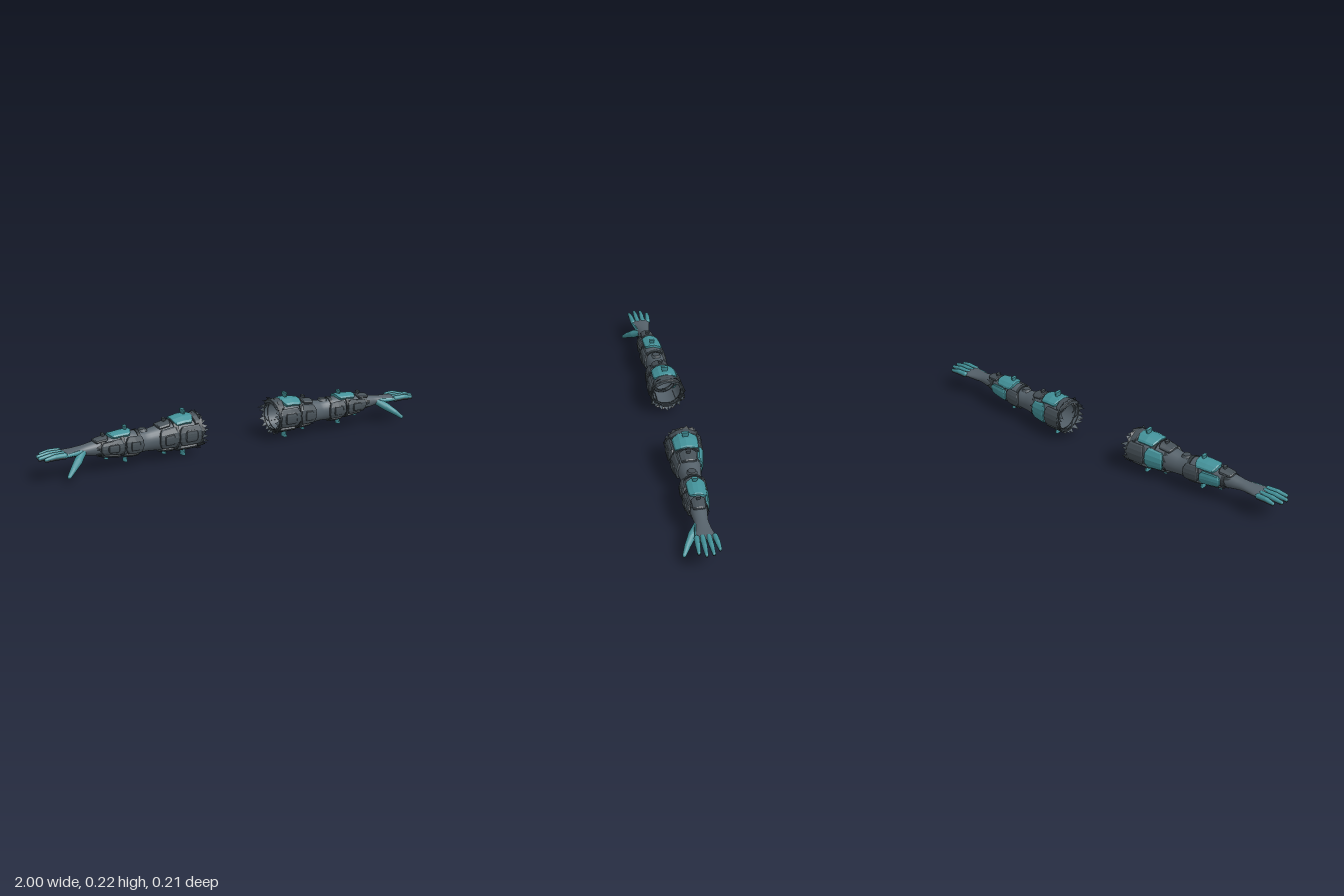
import * as THREE from 'three';
import { mergeVertices, mergeGeometries } from 'three/addons/utils/BufferGeometryUtils.js';

// Centre line and radii along the arm: x, y, z, vertical radius, depth radius
const STATIONS = [
  [0.20, 0.115, -0.022, 0.072, 0.072], [0.30, 0.115, -0.020, 0.074, 0.070],
  [0.38, 0.110, -0.015, 0.062, 0.058], [0.47, 0.105, -0.014, 0.050, 0.045],
  [0.55, 0.110, -0.008, 0.056, 0.049], [0.63, 0.114, -0.004, 0.049, 0.046],
  [0.72, 0.115, 0.000, 0.035, 0.036], [0.78, 0.115, 0.002, 0.024, 0.030],
  [0.83, 0.115, 0.004, 0.018, 0.036], [0.88, 0.115, 0.005, 0.014, 0.047],
  [0.905, 0.115, 0.005, 0.009, 0.046]];

// Point on the arm at x and angle (0 is up, 90 degrees faces front), pushed out by off
function onArm(x, a, off = 0) {
  let i = 0;
  while (i < STATIONS.length - 2 && x > STATIONS[i + 1][0]) i++;
  const p = STATIONS[i], q = STATIONS[i + 1];
  const t = Math.min(1, (x - p[0]) / (q[0] - p[0]));
  const [y, z, ry, rz] = [1, 2, 3, 4].map(k => p[k] + (q[k] - p[k]) * t);
  return [x, y + (ry + off) * Math.cos(a), z + (rz + off) * Math.sin(a)];
}

// Surface over a grid of points f(i, j)
function grid(nu, nv, f, smooth = false) {
  const pos = [], index = [];
  for (let i = 0; i <= nu; i++) for (let j = 0; j <= nv; j++) pos.push(...f(i, j));
  for (let i = 0; i < nu; i++) for (let j = 0; j < nv; j++) {
    const a = i * (nv + 1) + j, b = a + nv + 1;
    index.push(a, a + 1, b + 1, a, b + 1, b);
  }
  let g = new THREE.BufferGeometry();
  g.setAttribute('position', new THREE.Float32BufferAttribute(pos, 3));
  g.setIndex(index);
  g = smooth ? mergeVertices(g, 1e-5) : g.toNonIndexed();
  g.computeVertexNormals();
  return g;
}

const rad = d => d * Math.PI / 180;

// Curved armour plate with chamfered corners and a bevelled rim
function plate(x0, x1, a0, a1, thick = 0.012) {
  const us = [-1, -0.97, -0.85, 0, 0.85, 0.97, 1];
  const vs = [-1, -0.96, -0.8, -0.4, 0, 0.4, 0.8, 0.96, 1];
  return grid(6, 8, (i, j) => {
    const v = vs[j], cut = 1 - 0.3 * Math.max(0, (Math.abs(v) - 0.6) / 0.4);
    const x = (x0 + x1) / 2 + us[i] * cut * (x1 - x0) / 2;
    const edge = i === 0 || i === 6 || j === 0 || j === 8;
    const rim = i === 1 || i === 5 || j === 1 || j === 7;
    return onArm(x, rad((a0 + a1) / 2 + v * (a1 - a0) / 2), edge ? -0.006 : rim ? thick - 0.003 : thick);
  });
}

// Closed band around the arm
function band(x0, x1, off) {
  const prof = [[x0, -0.004], [x0, off], [x1, off], [x1, -0.004]];
  return grid(3, 20, (i, j) => onArm(prof[i][0], j / 20 * Math.PI * 2, prof[i][1]));
}

// Tapered limb segment with rounded joints
function limb(points, radii, flat = 1) {
  const parts = [];
  points.forEach((p, i) => {
    parts.push(new THREE.SphereGeometry(radii[i], 10, 8).scale(1, flat, 1).translate(...p));
    if (i === points.length - 1) return;
    const a = new THREE.Vector3(...p), b = new THREE.Vector3(...points[i + 1]), d = b.clone().sub(a);
    const c = new THREE.CylinderGeometry(radii[i + 1], radii[i], d.length(), 10, 1, true);
    c.applyQuaternion(new THREE.Quaternion().setFromUnitVectors(new THREE.Vector3(0, 1, 0), d.clone().normalize()));
    parts.push(c.translate(...a.add(b).multiplyScalar(0.5).toArray()));
  });
  return mergeGeometries(parts);
}

// Torn points around the arm, starting at x and reaching along dir
function fringe(x, dir, length, off, flare, count, seed) {
  const pos = [];
  const rnd = () => (seed = (seed * 16807) % 2147483647) / 2147483647;
  for (let i = 0; i < count; i++) {
    const a = i / count * 2 * Math.PI, w = 2 * Math.PI / count;
    pos.push(...onArm(x, a, off), ...onArm(x, a + w * 1.2, off));
    pos.push(...onArm(x + dir * length * (0.35 + 0.65 * rnd()), a + w * rnd(), off + flare * rnd()));
  }
  const g = new THREE.BufferGeometry();
  g.setAttribute('position', new THREE.Float32BufferAttribute(pos, 3));
  g.computeVertexNormals();
  return g;
}

// Small flared stud standing on the arm
function stud(x, a, off, h, w) {
  const g = new THREE.CylinderGeometry(0.72, 0.5, h, 4, 1).rotateY(Math.PI / 4).scale(0.014, 1, w);
  return g.rotateX(rad(a)).translate(...onArm(x, rad(a), off + h / 2));
}

function mirrored(g) {
  const m = g.index ? g.toNonIndexed() : g.clone();
  m.scale(-1, 1, 1);
  for (const name of ['position', 'normal']) {
    const t = m.attributes[name];
    for (let i = 0; i < t.count; i += 3) for (let k = 0; k < 3; k++) {
      const b = t.getComponent(i + 1, k);
      t.setComponent(i + 1, k, t.getComponent(i + 2, k));
      t.setComponent(i + 2, k, b);
    }
  }
  return m;
}

export function createModel() {
  const make = (name, color, side = THREE.FrontSide) => {
    const m = new THREE.MeshStandardMaterial({ color, side });
    m.name = name;
    return m;
  };
  const cloth = make('slateCloth', 0x55616a, THREE.DoubleSide);
  const armor = make('darkArmor', 0x465057);
  const dark = make('charcoal', 0x333b40, THREE.DoubleSide);
  const teal = make('teal', 0x43929a);
  const parts = [];
  const add = (name, geo, mat) => parts.push([name, geo, mat]);

  // Sleeve and hand body
  const N = 44;
  add('sleeve', grid(N, 24, (i, j) => onArm(0.20 + 0.705 * i / N, (j % 24) / 24 * Math.PI * 2), true), cloth);
  add('palm', plate(0.80, 0.905, 110, 250, 0.002), dark);

  // Torn shoulder cuff and frayed edges
  add('shoulderFringe', fringe(0.21, -1, 0.04, 0.004, 0.012, 20, 7), cloth);
  add('innerFringe', fringe(0.215, -1, 0.02, 0.012, 0.012, 18, 31), dark);
  add('upperArmFringe', fringe(0.39, 1, 0.03, 0.004, 0.008, 18, 77), dark);
  add('forearmFringe', fringe(0.70, 1, 0.04, 0.004, 0.006, 14, 19), dark);

  // Straps
  for (const [x0, x1, o] of [[0.205, 0.225, 0.008], [0.325, 0.345, 0.007], [0.51, 0.525, 0.005], [0.595, 0.61, 0.006], [0.69, 0.705, 0.005]])
    add('strap', band(x0, x1, o), dark);

  // Upper arm armour
  add('shoulderTopPlate', plate(0.24, 0.345, -46, 48, 0.014), teal);
  add('shoulderRimPlate', plate(0.195, 0.245, -50, 55, 0.010), armor);
  add('upperTopPlate', plate(0.35, 0.42, -38, 38, 0.010), armor);
  add('upperFrontPlate', plate(0.21, 0.325, 55, 128), armor);
  add('upperFrontPlate', plate(0.33, 0.42, 45, 130), armor);
  add('upperBackPlate', plate(0.205, 0.30, 232, 310), armor);
  add('upperBackTealPlate', plate(0.305, 0.395, 225, 312), teal);
  add('upperBottomPlate', plate(0.21, 0.325, 138, 222), armor);
  add('upperBottomPlate', plate(0.335, 0.41, 140, 215, 0.010), armor);

  // Elbow cap
  add('elbowCap', new THREE.CylinderGeometry(0.018, 0.025, 0.012, 12).translate(...onArm(0.485, 0, 0.002)), armor);

  // Forearm armour
  add('forearmTopPlate', plate(0.55, 0.66, -58, 42, 0.014), teal);
  add('forearmTopPlate', plate(0.665, 0.735, -45, 45, 0.010), armor);
  add('forearmFrontPlate', plate(0.50, 0.59, 48, 132), armor);
  add('forearmFrontPlate', plate(0.60, 0.71, 50, 130), armor);
  add('forearmBackPlate', plate(0.50, 0.58, 230, 312), armor);
  add('forearmBackTealPlate', plate(0.585, 0.69, 228, 300), teal);
  add('forearmBottomPlate', plate(0.51, 0.59, 140, 220, 0.010), armor);
  add('forearmBottomPlate', plate(0.60, 0.70, 140, 220, 0.010), armor);

  // Raised panels on the front plates
  for (const [x0, x1] of [[0.235, 0.30], [0.35, 0.40], [0.52, 0.57], [0.625, 0.68]])
    add('frontPanel', plate(x0, x1, 72, 112, 0.016), armor);

  // Studs above and below
  for (const [x, a, off, h, w, m] of [
    [0.275, 0, 0.012, 0.023, 0.034, teal], [0.275, 180, 0.010, 0.030, 0.034, teal],
    [0.575, 0, 0.012, 0.018, 0.026, teal], [0.575, 180, 0.008, 0.024, 0.026, teal],
    [0.375, 0, 0.008, 0.015, 0.022, armor], [0.375, 180, 0.008, 0.014, 0.022, teal],
    [0.685, 0, 0.006, 0.016, 0.02, armor], [0.67, 180, 0.006, 0.012, 0.02, teal]])
    add('stud', stud(x, a, off, h, w), m);

  // Fingers: teal backs over dark undersides
  for (const [z, tip] of [[-0.039, 0.965], [-0.010, 0.990], [0.019, 0.993], [0.046, 0.975]]) {
    const mid = (0.89 + tip) / 2, spread = z * 1.08;
    const path = dy => [[0.885, 0.117 + dy, z * 0.92], [mid, 0.119 + dy, z], [tip, 0.114 + dy, spread]];
    add('finger', limb(path(0.002), [0.0125, 0.0115, 0.0075]), teal);
    add('fingerPad', limb(path(-0.004), [0.0115, 0.0105, 0.0065]), dark);
  }

  // Thumb and the teal edge of the hand
  add('thumb', limb([[0.79, 0.111, 0.018], [0.825, 0.086, 0.050], [0.86, 0.060, 0.076], [0.888, 0.036, 0.094]],
    [0.018, 0.019, 0.014, 0.009]), teal);
  add('handFrontEdge', plate(0.79, 0.90, 55, 115, 0.003), teal);

  // Left arm and its mirrored twin
  const model = new THREE.Group();
  model.name = 'armouredArms';
  for (const side of ['left', 'right']) {
    const arm = new THREE.Group();
    arm.name = side + 'Arm';
    for (const [name, geo, mat] of parts) {
      const mesh = new THREE.Mesh(side === 'left' ? geo : mirrored(geo), mat);
      mesh.name = name;
      arm.add(mesh);
    }
    model.add(arm);
  }
  return model;
}
